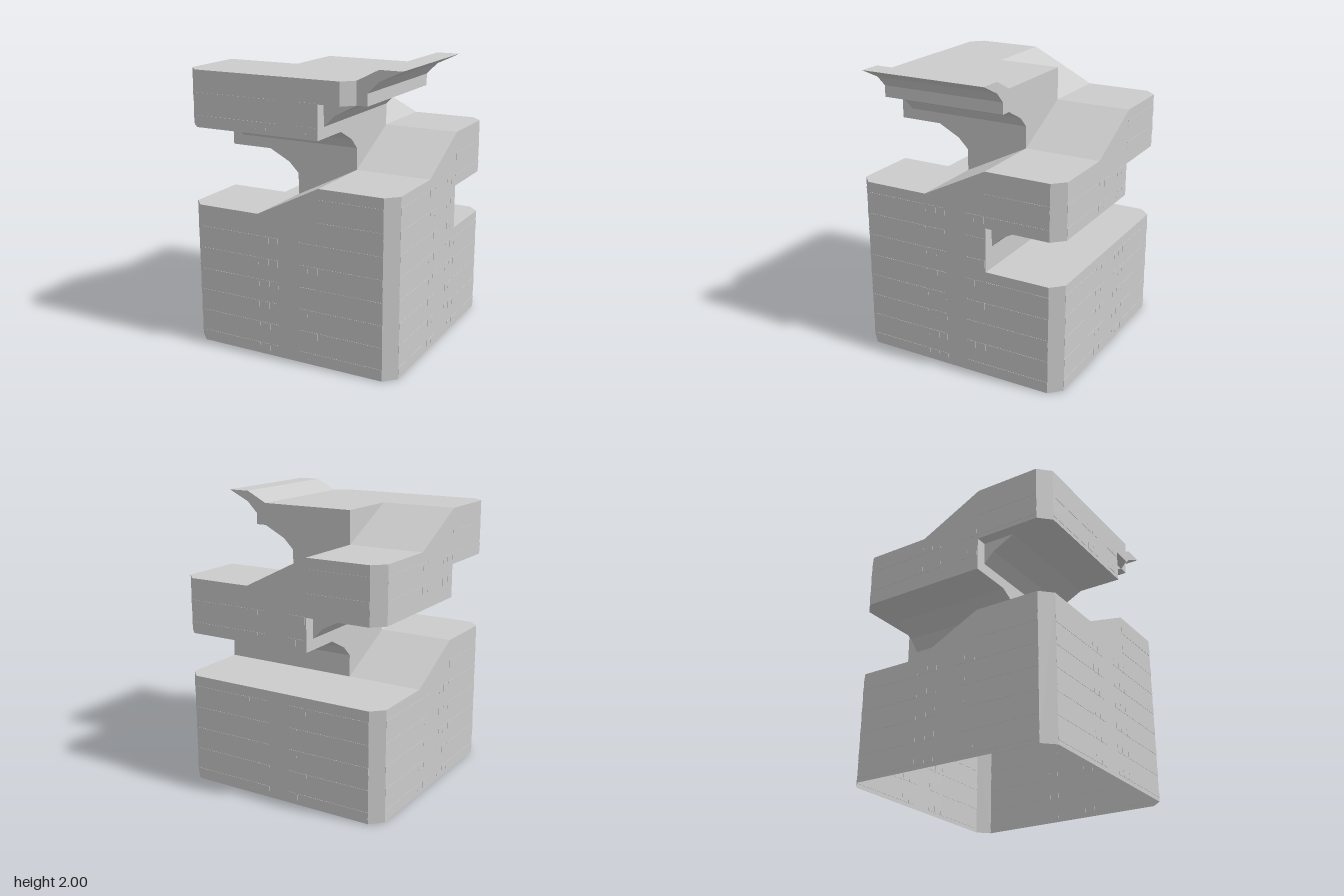
import * as THREE from 'three';
import { mergeGeometries } from 'three/addons/utils/BufferGeometryUtils.js';

const A = 0.77, B = 0.23, C = 0.69;      // outer wall, core wall, start of chamfer
const RISE = 0.231, THICK = 0.385;       // climb per side, thickness of the upper arms
const height = (n) => 1.0 + RISE * n;    // deck height at the start of side n
const DECK = height(4);
const LIP = height(5) - THICK;           // underside of the top deck's lip
const COVE = [[B, -0.155], [0.305, -0.08], [0.46, 0]];

const material = new THREE.MeshStandardMaterial({ color: 0xcccccc, flatShading: true, side: THREE.DoubleSide });

// Each side is drawn as if at the front: x is the direction of climb, z points outward.
// Polygons are fanned from their first corner.
function shell(faces) {
  const pos = [];
  for (const f of faces)
    for (let i = 1; i < f.length - 1; i++) pos.push(...f[0], ...f[i], ...f[i + 1]);
  const g = new THREE.BufferGeometry();
  g.setAttribute('position', new THREE.Float32BufferAttribute(pos, 3));
  g.computeVertexNormals();
  return g;
}

// Vertical quad between two plan points, with own top heights
const wall = (p, q, y0, yp, yq) => [[p[0], y0, p[1]], [q[0], y0, q[1]], [q[0], yq, q[1]], [p[0], yp, p[1]]];
const flat = (pts, y) => pts.map(([x, z]) => [x, y, z]);
// Upright wall at the end of a side
const endWall = (y0, y1) => [[B, y0, B], [B, y1, B], [B, y1, A], [B, y0, A]];

// Profile (outward, up) run along the side from the chamfer to the core's far edge
function prism(profile) {
  const shape = new THREE.Shape(profile.map(([v, y]) => new THREE.Vector2(v, y)));
  const g = new THREE.ExtrudeGeometry(shape, { depth: B + C, bevelEnabled: false });
  return g.rotateY(-Math.PI / 2).translate(B, 0, 0);
}

// Thin courses of stone, flush to within a hair of the wall
function courses(y0, y1) {
  const list = [], h = 0.05, t = 0.004;
  const spans = [[-0.69, -0.23], [-0.22, -0.15], [-0.145, -0.08], [0.08, 0.145], [0.15, 0.22]];
  for (let y = 0.03; y + h < y1; y += 0.154) {
    if (y < y0 + 0.01) continue;
    for (const [u, w] of spans)
      list.push(new THREE.BoxGeometry(w - u, h, t).translate((u + w) / 2, y + h / 2, A));
    list.push(new THREE.BoxGeometry(t, h, C - B).translate(-A, y + h / 2, (B + C) / 2));
  }
  return mergeGeometries(list);
}

export function createModel() {
  const root = new THREE.Group();
  root.name = 'spiralRampTower';

  const side = (n, name) => {
    const g = new THREE.Group();
    g.name = name;
    g.rotation.y = n * Math.PI / 2;
    root.add(g);
    return g;
  };
  const add = (group, name, geometry) => {
    const m = new THREE.Mesh(geometry, material);
    m.name = name;
    group.add(m);
  };

  const names = ['baseBack', 'baseLeftRamp', 'baseFrontRamp', 'baseRightRamp', 'backArm', 'sideArm', 'topArm'];
  for (let n = -2; n <= 4; n++) {
    const g = side(n, names[n + 2]);
    const isArm = n >= 2;
    const level = n === -2 ? height(-1) : height(n);
    const end = n === -2 || n === 4 ? level : level + RISE;
    const bottom = isArm ? level - THICK : 0;

    // Outer walls, flat corner and ramp
    const path = [[-A, B], [-A, C], [-C, A], [-B, A], [B, A]];
    const faces = [];
    for (let i = 0; i < 4; i++) faces.push(wall(path[i], path[i + 1], bottom, level, i === 3 ? end : level));
    faces.push(flat([...path.slice(0, 4), [-B, B]], level));
    if (n < 4) faces.push([[-B, level, B], [-B, level, A], [B, end, A], [B, end, B]]);

    // Core wall above the ramp
    const coreTop = isArm ? DECK : height(n + 4) - THICK - 0.155;
    if (n < 4) faces.push([[-B, level, B], [B, end, B], [B, coreTop, B], [-B, coreTop, B]]);

    if (isArm) {
      // Underside, stepped end and cove against the core
      faces.push(flat([[B, B], [B, A], [-C, A], [-A, C], [-A, B]], bottom));
      faces.push(endWall(bottom, bottom + RISE));
      add(g, 'cove', prism([[B, bottom], ...COVE.map(([v, y]) => [v, bottom + y])]));
    }
    if (n === 1) faces.push(endWall(height(-1), height(2) - THICK));

    if (n === 4) {
      // Top deck with its chamfered lip
      const p = [0.385, A], q = [0.46, C];
      faces.push(flat([[-B, B], [-B, A], p, q, [0.46, B]], DECK));
      faces.push(flat([[-B, -B], [-B, B], [B, B], [B, -B]], DECK));
      faces.push(wall([B, A], p, LIP, DECK, DECK), wall(p, q, LIP, DECK, DECK));
      faces.push(flat([[B, C], q, p, [B, A]], LIP));
    }
    add(g, 'walls', shell(faces));
    add(g, 'stoneCourses', courses(bottom, level));
  }

  // Flared eave overhanging the last side
  add(side(5, 'eave'), 'eaveProfile', prism([
    ...COVE.map(([v, y]) => [v, LIP + y]),
    [0.535, LIP], [0.535, 1.85], [0.61, 1.925], [0.768, 2], [0.61, 2], [0.46, DECK], [B, DECK],
  ]));
  return root;
}
